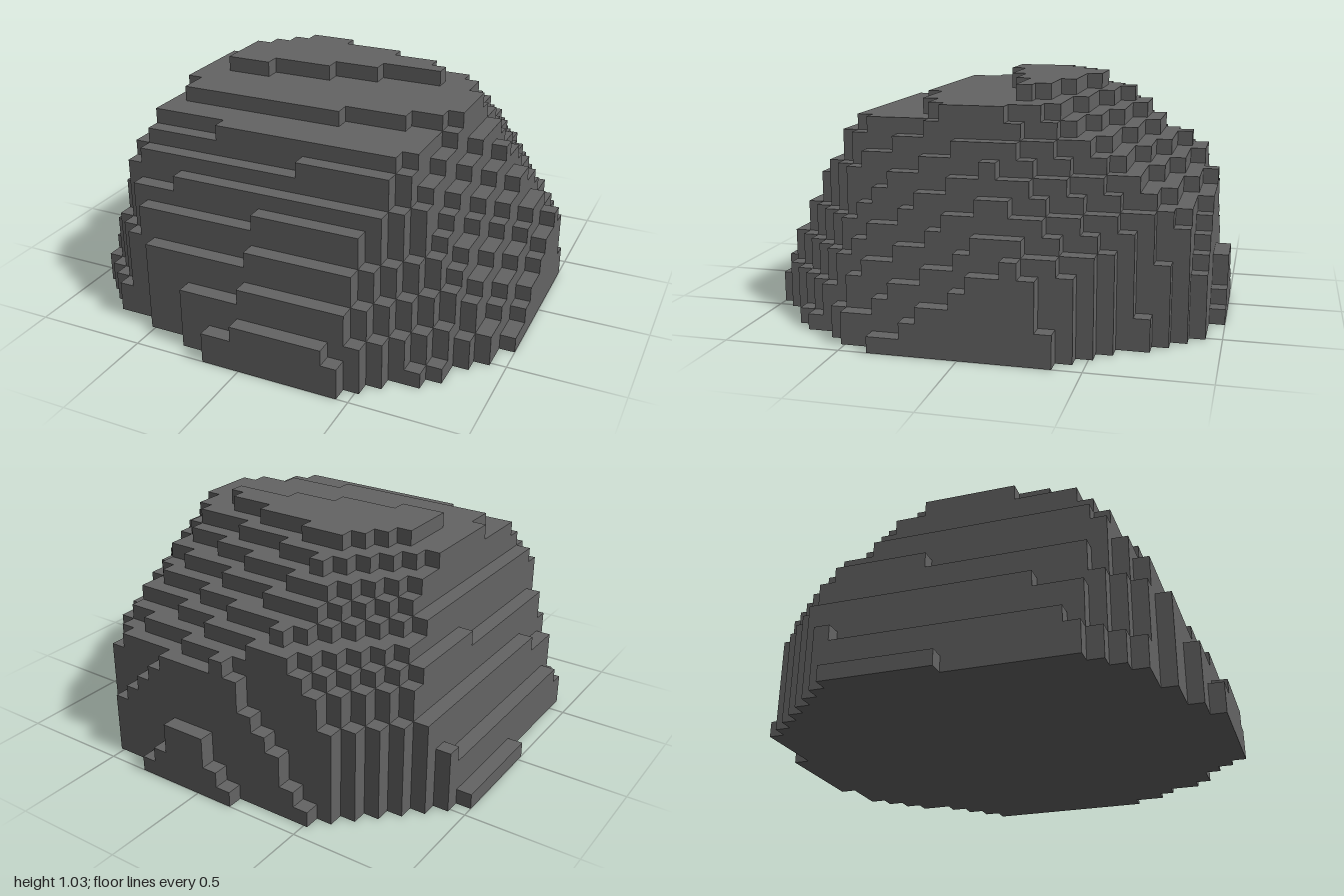
import * as THREE from 'three';

// Cubes per side, layers and cube size
const N = 29, LAYERS = 15, S = 2 / N;

// Facets of the rock: a*x + b*y + c*z <= d
const FACETS = [
  // front
  [-0.04, 0.5, 1, 1.054], [-0.05, 0.7, 1, 1.17], [0, 3, 1, 3.16],
  // top
  [0.047, 1, 0.167, 0.998],
  // back
  [0.28, 1.35, -1, 1.67], [0, 0.2, -1, 1.02], [-0.2, 0.15, -1, 1.003], [0.2, 0.15, -1, 1.03],
  // left side (+x)
  [1, 0.605, 0, 1.2105], [1, 0.46, 0.28, 1.09], [1, 0.75, -0.5, 1.37],
  // corners beside it
  [1, 0.45, 1.05, 1.505], [1, 0.4, 0.8, 1.333], [1.25, 0.08, -1, 1.563],
  // right side (-x)
  [-1, 0.38, 0.02, 0.9795], [-1, 2, 0, 2.49],
  // corners beside it
  [-1, 0.05, -1, 1.4], [-1, 1.35, -1, 2.08], [-1, 3, -1, 3.63],
  [-0.35, 0.03, 1, 1.018], [-1, 0.25, 1, 1.48],
];

// Centre of a cube in the grid
const centre = (i, k, j) => [(i - (N - 1) / 2) * S, (k + 0.5) * S, (j - (N - 1) / 2) * S];

function filled(i, k, j) {
  if (i < 0 || j < 0 || k < 0 || i >= N || j >= N || k >= LAYERS) return false;
  const [x, y, z] = centre(i, k, j);
  return FACETS.every(([a, b, c, d]) => a * x + b * y + c * z <= d);
}

// Outer faces of all filled cubes
function cubeSurface() {
  const positions = [], normals = [], index = [];
  const corners = [[-1, -1], [1, -1], [1, 1], [-1, 1]];
  for (let i = 0; i < N; i++) for (let k = 0; k < LAYERS; k++) for (let j = 0; j < N; j++) {
    if (!filled(i, k, j)) continue;
    const c = centre(i, k, j);
    for (let axis = 0; axis < 3; axis++) for (const sign of [-1, 1]) {
      const n = [0, 0, 0];
      n[axis] = sign;
      if (filled(i + n[0], k + n[1], j + n[2])) continue;
      const start = positions.length / 3;
      for (const [u, v] of corners) {
        const p = [...c];
        p[axis] += sign * S / 2;
        p[(axis + 1) % 3] += u * S / 2;
        p[(axis + 2) % 3] += v * S / 2;
        positions.push(...p);
        normals.push(...n);
      }
      const order = sign > 0 ? [0, 1, 2, 0, 2, 3] : [0, 2, 1, 0, 3, 2];
      index.push(...order.map((o) => start + o));
    }
  }
  const geometry = new THREE.BufferGeometry();
  geometry.setAttribute('position', new THREE.Float32BufferAttribute(positions, 3));
  geometry.setAttribute('normal', new THREE.Float32BufferAttribute(normals, 3));
  geometry.setIndex(index);
  return geometry;
}

export function createModel() {
  const group = new THREE.Group();
  group.name = 'boulder';
  const stone = new THREE.MeshStandardMaterial({ color: 0x646464 });
  stone.name = 'stone grey';
  const rock = new THREE.Mesh(cubeSurface(), stone);
  rock.name = 'rock';
  group.add(rock);
  return group;
}
